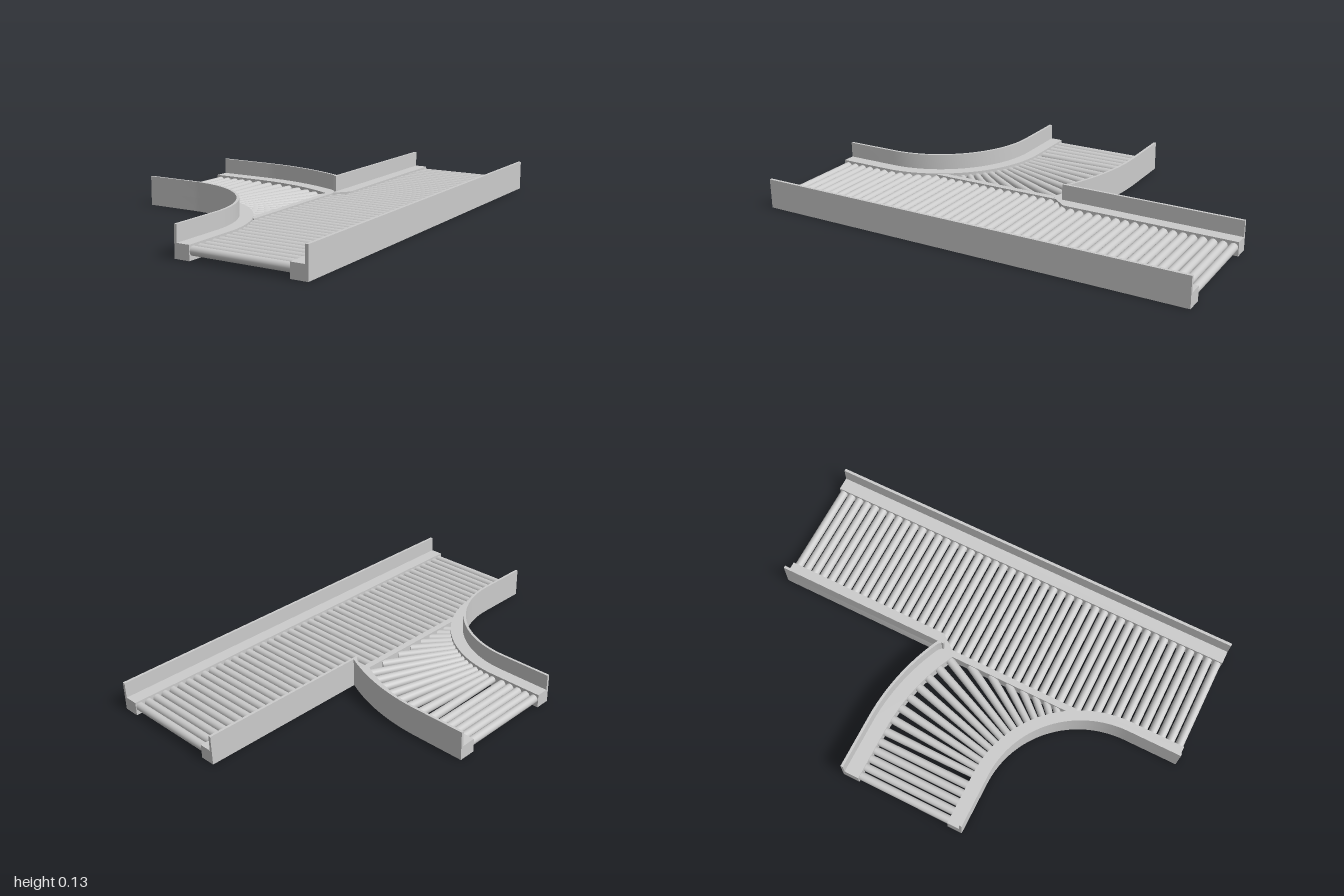
import * as THREE from 'three';
import { toCreasedNormals } from 'three/addons/utils/BufferGeometryUtils.js';

const LEDGE = 0.063, TOP = 0.135, ROLLER_Y = 0.0365, ROLLER_R = 0.019;
const CX = -0.4, CZ = 0.75;             // shared centre of the branch curves
const R = { outerFront: 0.46, innerFront: 0.53, innerBack: 0.97, outerBack: 1.05 };

export function createModel() {
  const group = new THREE.Group();
  const mat = new THREE.MeshStandardMaterial({ color: 0xcccccc });

  const add = (name, geo) => {
    const mesh = new THREE.Mesh(geo, mat);
    mesh.name = name;
    group.add(mesh);
    return mesh;
  };

  // Upright slab from a plan outline of [x, z] points
  const slab = (name, pts, y0, y1) => {
    const shape = new THREE.Shape(pts.map(([x, z]) => new THREE.Vector2(x, -z)));
    const geo = new THREE.ExtrudeGeometry(shape, { depth: y1 - y0, bevelEnabled: false });
    geo.rotateX(-Math.PI / 2).translate(0, y0, 0);
    return add(name, toCreasedNormals(geo, 0.5));
  };

  const rect = (x0, x1, z0, z1) => [[x0, z0], [x1, z0], [x1, z1], [x0, z1]];

  // Points on a circle about the branch centre; angle 0 points to -z
  const arc = (r, a0, a1, n = 32) => Array.from({ length: n + 1 }, (_, i) => {
    const a = a0 + (a1 - a0) * i / n;
    return [CX + r * Math.sin(a), CZ - r * Math.cos(a)];
  });
  const angleAtX = (r, x) => Math.asin((x - CX) / r);

  // Straight outer rail
  slab('outerRailLedge', rect(0.575, 0.65, -1, 1), 0, LEDGE);
  slab('outerRailLip', rect(0.637, 0.65, -1, 1), LEDGE, TOP);

  // Rear inner rail, its ledge tapering at the junction
  slab('rearRailLedge', [[0.06, -1], [0.13, -1], [0.13, -0.2], [0.075, -0.13], [0.06, -0.17]], 0, LEDGE);
  slab('rearRailLip', rect(0.06, 0.072, -1, -0.165), LEDGE, TOP);

  // Front curved rail sweeping from the branch into the main line
  const quarter = Math.PI / 2;
  const frontBand = (rIn, rOut) => [
    [-0.65, CZ - rIn], ...arc(rIn, 0, quarter), [CX + rIn, 1],
    [CX + rOut, 1], ...arc(rOut, quarter, 0), [-0.65, CZ - rOut],
  ];
  slab('frontCurveLedge', frontBand(R.outerFront, R.innerFront), 0, LEDGE);
  slab('frontCurveLip', frontBand(R.outerFront, R.outerFront + 0.012), LEDGE, TOP);

  // Rear curved rail of the branch
  const rb = R.outerBack, lipR = rb - 0.012;
  slab('rearCurveLedge', [
    [-0.65, CZ - rb], ...arc(rb, 0, angleAtX(rb, 0.06)), [0.075, -0.13],
    ...arc(R.innerBack, angleAtX(R.innerBack, 0.045), 0), [-0.65, CZ - R.innerBack],
  ], 0, LEDGE);
  slab('rearCurveLip', [
    [-0.65, CZ - rb], ...arc(rb, 0, angleAtX(rb, 0.06)), [0.07, -0.165],
    ...arc(lipR, angleAtX(lipR, 0.045), 0), [-0.65, CZ - lipR],
  ], LEDGE, TOP);

  // Narrow divider between the branch and the main line
  slab('divider', rect(0.045, 0.075, -0.14, 0.5), 0, LEDGE - 0.002);

  // Roller between two plan points, optionally tapered
  const up = new THREE.Vector3(0, 1, 0);
  const roller = (name, [x0, z0], [x1, z1], r0 = ROLLER_R, r1 = r0) => {
    const a = new THREE.Vector3(x0, ROLLER_Y, z0);
    const b = new THREE.Vector3(x1, ROLLER_Y, z1);
    const dir = b.clone().sub(a);
    const mesh = add(name, new THREE.CylinderGeometry(r1, r0, dir.length(), 20));
    mesh.position.copy(a).add(b).multiplyScalar(0.5);
    mesh.quaternion.setFromUnitVectors(up, dir.normalize());
  };

  // Main line rollers, starting at the inner rail or the divider
  const startX = (z) => {
    if (z < -0.2 || z > CZ) return 0.13;
    if (z < -0.13) return 0.13 - 0.055 * (z + 0.2) / 0.07;
    if (z < 0.515) return 0.075;
    return CX + Math.sqrt(R.innerFront ** 2 - (CZ - z) ** 2);
  };
  const count = 46, pitch = 2 / count;
  for (let i = 0; i < count; i++) {
    const z = -1 + pitch * (i + 0.5);
    roller('mainRoller', [startX(z) - 0.01, z], [0.58, z]);
  }

  // Straight rollers at the branch mouth
  for (let i = 0; i < 5; i++) {
    const x = -0.628 + i * pitch;
    roller('branchRoller', [x, 0.225], [x, -0.225]);
  }

  // Fanned rollers, cut short where they meet the divider
  for (let a = 0.0; a < 0.96; a += 0.066) {
    const far = Math.min(R.innerBack + 0.005, (0.05 - CX) / Math.max(Math.sin(a), 0.001));
    const near = R.innerFront - 0.008;
    if (far - near < 0.02) continue;
    const at = (r) => [CX + r * Math.sin(a), CZ - r * Math.cos(a)];
    const taper = (far - near) / (R.innerBack - R.innerFront);
    roller('fanRoller', at(near), at(far), 0.016, 0.016 + 0.004 * taper);
  }

  return group;
}
